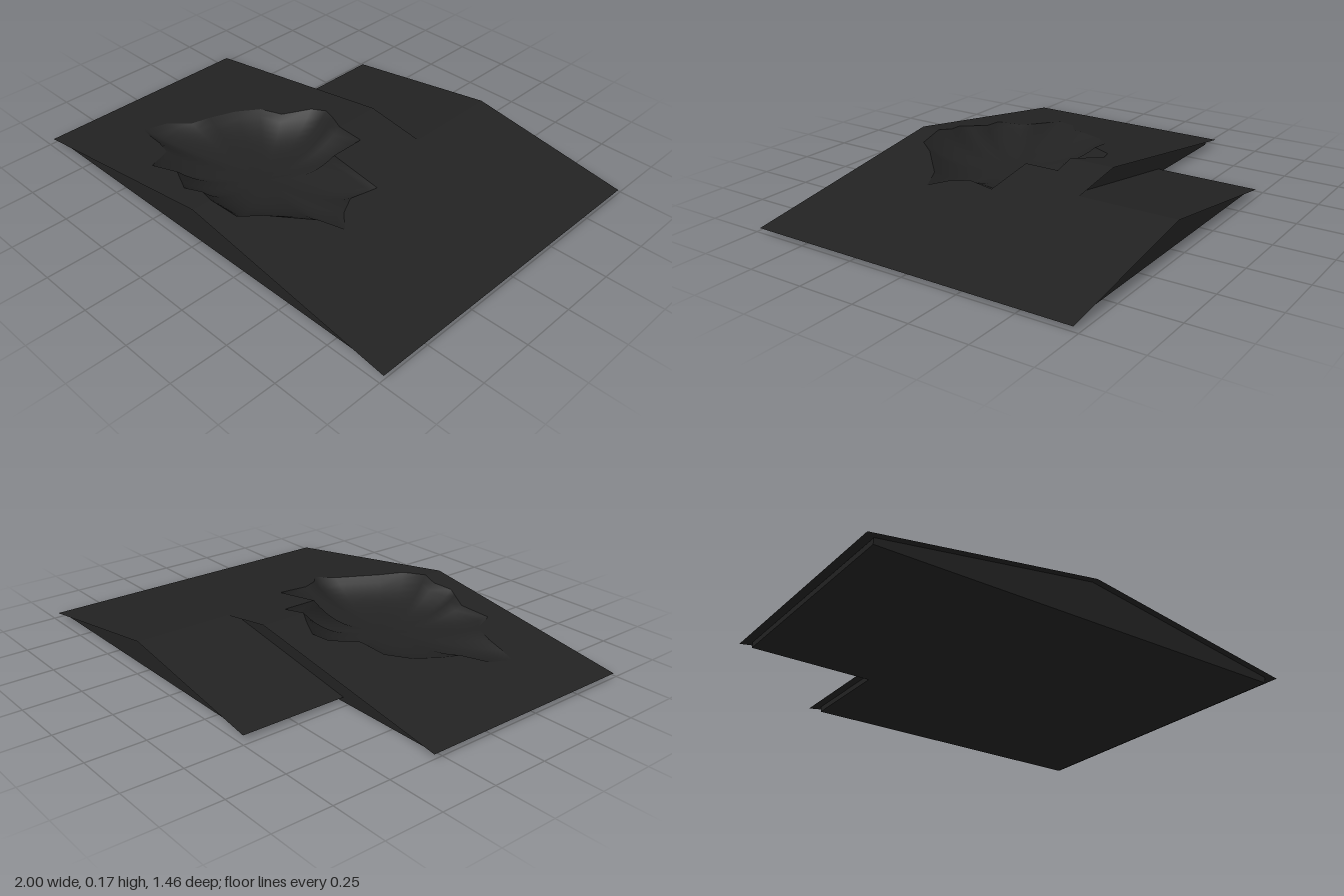
import * as THREE from 'three';

const RIDGE = 0.175, SLOPE = 0.155, EAVE = 0.02;
const WING_X = 0.265, WING_RIDGE = RIDGE - SLOPE * WING_X;

// Roof heights of the main block and of the rear wing
const mainHeight = (x) => RIDGE - SLOPE * Math.abs(x);
const wingHeight = (x) => WING_RIDGE - SLOPE * Math.abs(x - WING_X);

// Ragged rim of the hole as [x, z]; it crosses the ridge at x = 0 twice
const rimLeft = [
  [0, 0.64], [-0.075, 0.62], [-0.16, 0.645], [-0.21, 0.62], [-0.29, 0.58], [-0.42, 0.61],
  [-0.465, 0.5], [-0.555, 0.47], [-0.64, 0.455], [-0.715, 0.435], [-0.68, 0.34],
  [-0.58, 0.27], [-0.555, 0.19], [-0.5, 0.08], [-0.42, 0], [-0.3, -0.02],
  [-0.225, -0.13], [-0.155, -0.155], [-0.075, -0.12], [0, -0.08],
];
const rimRight = [
  [0, -0.08], [0.115, -0.09], [0.115, 0.07], [0.36, 0.07], [0.335, 0.2], [0.375, 0.28],
  [0.44, 0.34], [0.34, 0.385], [0.19, 0.535], [0.13, 0.62], [0, 0.64],
];

const toShape = (pts) => new THREE.Shape(pts.map(([x, y]) => new THREE.Vector2(x, y)));

// Flat sheet with the given [x, z] outline, lifted to the height rule
function roofSheet(pts, height) {
  const geo = new THREE.ShapeGeometry(toShape(pts.map(([x, z]) => [x, -z])));
  const p = geo.attributes.position;
  for (let i = 0; i < p.count; i++) p.setXYZ(i, p.getX(i), height(p.getX(i)), -p.getY(i));
  geo.computeVertexNormals();
  return geo;
}

// Gable wall in the x-y plane
function gable(cx, half, peak, z) {
  const low = peak - SLOPE * half;
  return new THREE.ShapeGeometry(toShape([
    [cx - half, EAVE], [cx + half, EAVE], [cx + half, low], [cx, peak], [cx - half, low],
  ])).translate(0, 0, z);
}

// Smooth bowl running from the rim down to a shallow floor
function bowl() {
  const rim = [...rimLeft.slice(0, -1), ...rimRight.slice(0, -1)];
  const n = rim.length, rings = 12, cx = -0.1, cz = 0.28, floor = 0.03;
  const pos = [], index = [];
  for (let r = 0; r < rings; r++) {
    const t = 1 - r / rings;
    for (const [x, z] of rim) {
      const y = floor + (mainHeight(x) - floor) * Math.pow(t, 3);
      pos.push(cx + (x - cx) * t, y, cz + (z - cz) * t);
    }
  }
  pos.push(cx, floor, cz);
  for (let r = 0; r < rings; r++) {
    for (let i = 0; i < n; i++) {
      const j = (i + 1) % n, a = r * n + i, b = r * n + j;
      if (r === rings - 1) { index.push(a, rings * n, b); continue; }
      index.push(a, a + n, b, b, a + n, b + n);
    }
  }
  const geo = new THREE.BufferGeometry();
  geo.setAttribute('position', new THREE.Float32BufferAttribute(pos, 3));
  geo.setIndex(index);
  geo.computeVertexNormals();
  // Make the bowl face upward
  if (geo.attributes.normal.getY(rings * n) < 0) {
    geo.setIndex(index.reverse());
    geo.computeVertexNormals();
  }
  return geo;
}

export function createModel() {
  const group = new THREE.Group();
  const charcoal = new THREE.MeshStandardMaterial({ color: 0x222222, side: THREE.DoubleSide });
  charcoal.name = 'charcoal';
  const add = (name, geo) => {
    const mesh = new THREE.Mesh(geo, charcoal);
    mesh.name = name;
    group.add(mesh);
  };

  // Main roof slopes, cut along the rim of the hole
  add('mainRoofRightSlope', roofSheet(
    [[0, 0.73], ...rimLeft, [0, -0.29], [-1, -0.29], [-1, 0.73]], mainHeight));
  add('mainRoofLeftSlope', roofSheet(
    [[0, 0.73], [1, 0.73], [1, -0.73], [WING_X, -0.73], [WING_X, -0.29], [0, -0.29], ...rimRight],
    mainHeight));

  // Inner slope of the rear wing, tucked under the main roof
  add('wingRoofSlope', roofSheet(
    [[-0.47, -0.73], [WING_X, -0.73], [WING_X, -0.22], [-0.47, -0.22]], wingHeight));

  // Sunken damage in the roof
  add('roofCrater', bowl());

  // Gable walls set back under the overhang
  add('frontGable', gable(0, 0.96, RIDGE, 0.7));
  add('innerGable', gable(0, 0.96, RIDGE, -0.255));
  add('wingGable', gable(WING_X, 0.695, WING_RIDGE, -0.69));

  // Low base following the L-shaped footprint
  const footprint = [[-0.96, 0.7], [0.96, 0.7], [0.96, -0.69], [-0.43, -0.69], [-0.43, -0.255], [-0.96, -0.255]];
  add('base', new THREE.ExtrudeGeometry(toShape(footprint.map(([x, z]) => [x, -z])),
    { depth: 0.024, bevelEnabled: false }).rotateX(-Math.PI / 2));

  return group;
}
